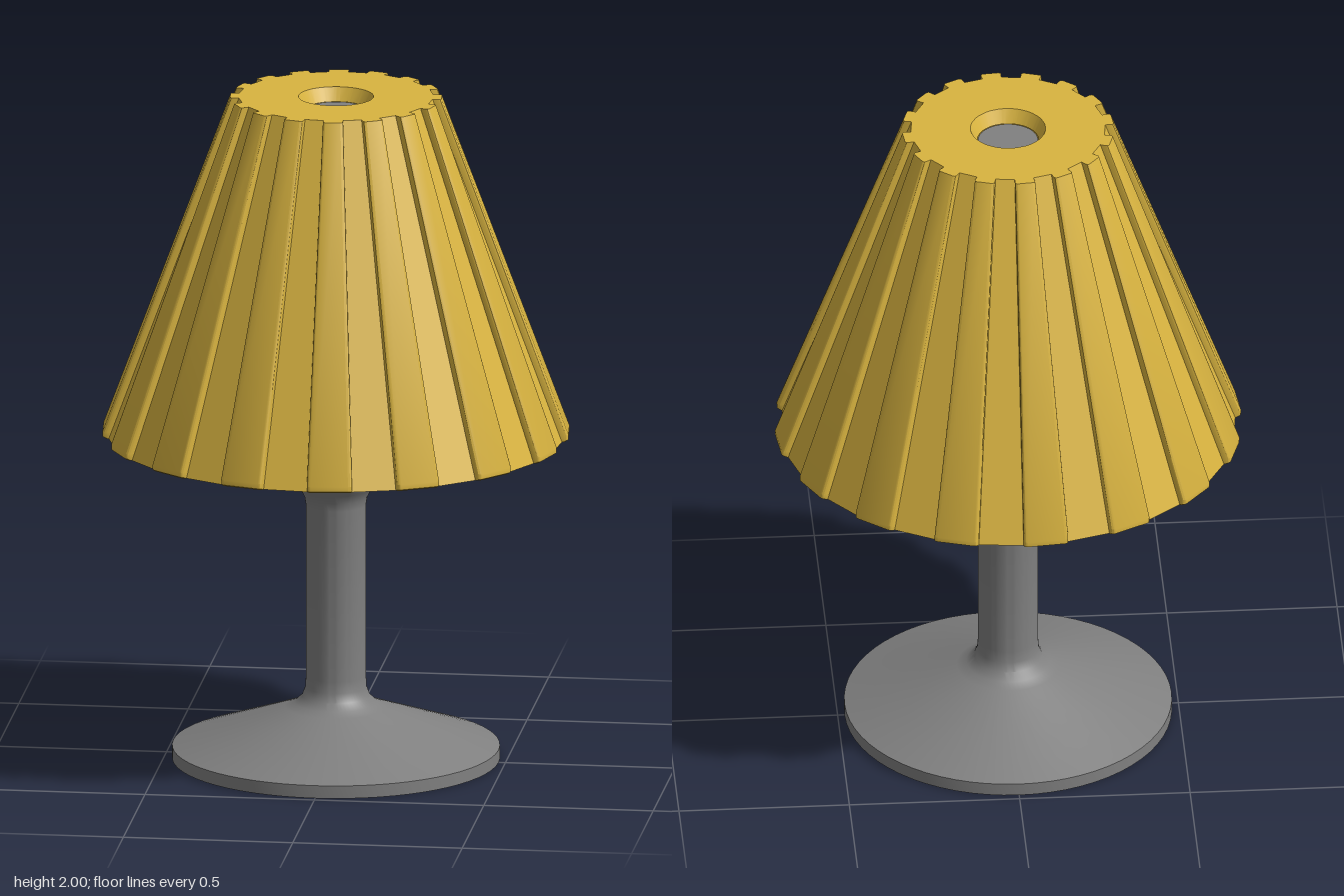
import * as THREE from 'three';
import { toCreasedNormals } from 'three/addons/utils/BufferGeometryUtils.js';

const RIBS = 16;
const STEP = Math.PI / RIBS; // angular width of one rib or one groove

// Radius of a flat facet at angle a, for a facet starting at angle 0
const flat = (r, a) => r * Math.cos(STEP / 2) / Math.cos(a - STEP / 2);

// Half of a rib outline: [inset along the facet, drop from the rib face], in bevel units
const BEVEL = [[0, 1], [0.13, 0.5], [0.5, 0.13], [1, 0]];

// Ring of the shade: groove radius r, rib height h, bevel size b (round = true circle)
function ring({ y, r, h = 0, b = 0.008, round = false }) {
  const pts = [];
  const half = [[0, h], ...BEVEL.map(([s, d]) => [s * b / r, Math.min(h, d * b)])];
  const section = [
    ...half.map(([a, d]) => [a, h - d]),
    ...half.slice().reverse().map(([a, d]) => [STEP - a, h - d]),
  ];
  for (let i = 0; i < RIBS; i++) {
    const start = (2 * i + 1) * STEP;
    for (const [a, lift] of section) {
      const rad = round ? r : flat(r, a) + lift;
      pts.push(new THREE.Vector3(rad * Math.cos(start + a), y, rad * Math.sin(start + a)));
    }
  }
  return pts;
}

// Skin consecutive rings with quads
function loft(rings, crease) {
  const n = rings[0].length;
  const pos = [], index = [];
  rings.forEach((pts) => pts.forEach((p) => pos.push(p.x, p.y, p.z)));
  for (let k = 0; k < rings.length - 1; k++) {
    for (let i = 0; i < n; i++) {
      const j = (i + 1) % n;
      const a = k * n + i, b = k * n + j, c = a + n, d = b + n;
      index.push(a, c, b, b, c, d);
    }
  }
  const geo = new THREE.BufferGeometry();
  geo.setAttribute('position', new THREE.Float32BufferAttribute(pos, 3));
  geo.setIndex(index);
  return toCreasedNormals(geo, crease);
}

export function createModel() {
  const group = new THREE.Group();
  const gold = new THREE.MeshStandardMaterial({ color: 0xd9b440 });
  const grey = new THREE.MeshStandardMaterial({ color: 0x808080 });
  const add = (name, geo, mat) => {
    const mesh = new THREE.Mesh(geo, mat);
    mesh.name = name;
    group.add(mesh);
  };

  // Pleated outside, top cap and tapered centre hole
  const groove = (y) => 0.667 - 0.382 * (y - 0.975) / 1.025;
  const outside = [
    { y: 0.975, r: groove(0.975), h: 0.01, b: 0.012 },
    { y: 0.98, r: groove(0.98), h: 0.02, b: 0.012 },
    { y: 0.995, r: groove(0.995), h: 0.026, b: 0.012 },
    { y: 2, r: groove(2), h: 0.026, b: 0.008 },
    { y: 2, r: 0.11, round: true },
    { y: 1.96, r: 0.09, round: true },
  ];
  add('shadeOutside', loft(outside.map(ring), 0.6), gold);

  // Faceted lining, from the underside of the cap down to the bottom rim
  const inside = [
    { y: 1.96, r: 0.09, round: true },
    { y: 1.96, r: 0.257 },
    { y: 0.975, r: 0.622 },
  ];
  const lining = inside.map(ring);
  lining.push(ring(outside[0]));
  add('shadeLining', loft(lining, 0.12), gold);

  // Stand: base disc, fillet, stem, flared collar and pole inside the shade
  const profile = [
    [0, 0], [0.48, 0], [0.48, 0.038], [0.15, 0.155], [0.122, 0.168], [0.1, 0.188],
    [0.09, 0.215], [0.088, 0.25], [0.088, 0.765], [0.092, 0.79], [0.105, 0.815],
    [0.195, 0.935], [0.235, 0.935], [0.235, 0.975], [0.088, 0.975], [0.088, 1.96], [0, 1.96],
  ].map(([x, y]) => new THREE.Vector2(x, y));
  add('stand', toCreasedNormals(new THREE.LatheGeometry(profile, 64), 0.5), grey);

  return group;
}
